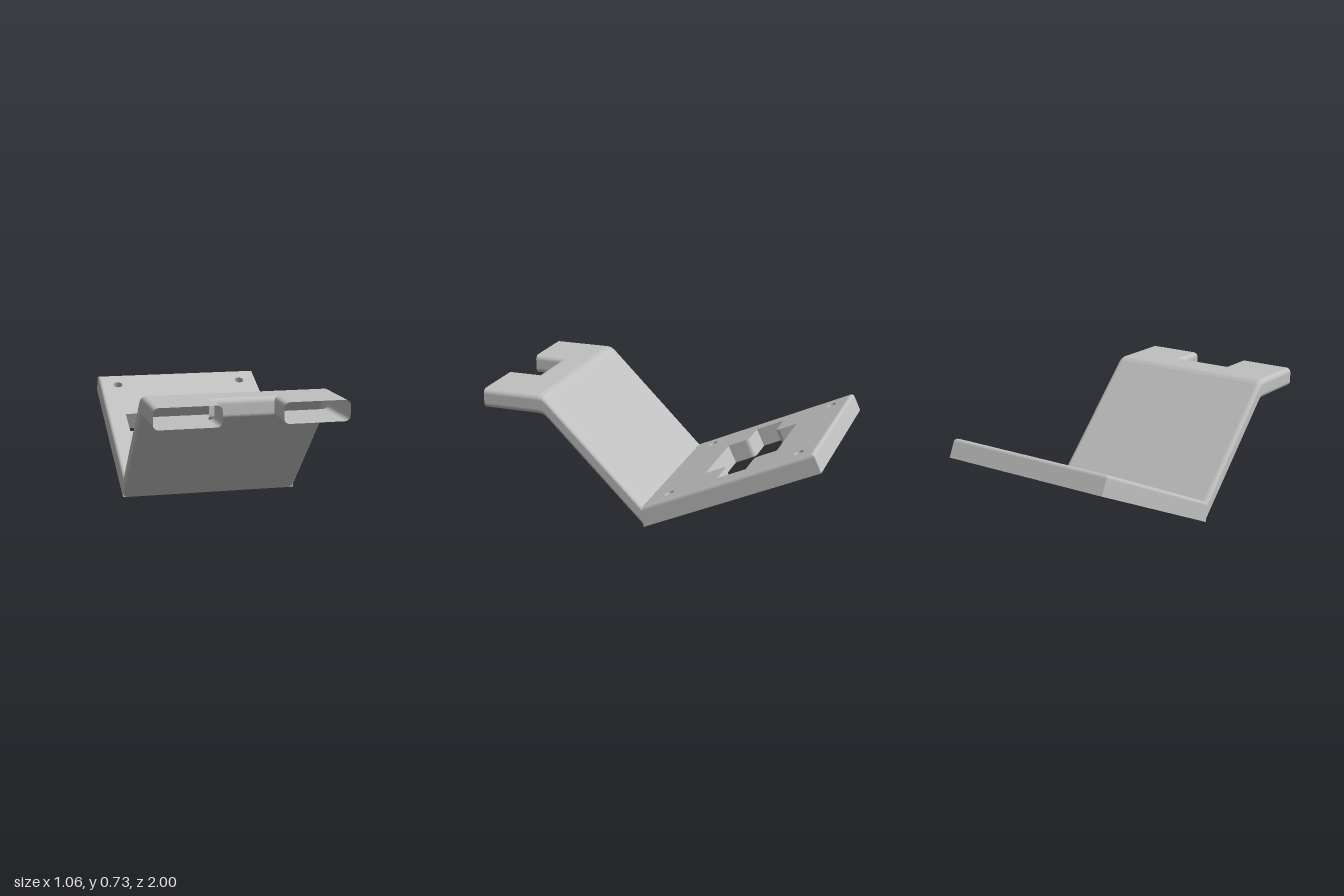
import * as THREE from 'three';

const W = 0.53;            // half width
const T = 0.115;           // material thickness
const NOTCH = 0.165;       // half width of the front notch
const R = 0.03;            // edge rounding of the riser and shelf
const ARC = 8;

// Faceted skin through rows of points
function loft(rows, closed) {
  const n = rows[0].length, index = [];
  for (let i = 0; i < rows.length - 1; i++) {
    for (let j = 0; j < (closed ? n : n - 1); j++) {
      const a = i * n + j, b = i * n + (j + 1) % n;
      index.push(a, b, a + n, b, b + n, a + n);
    }
  }
  const g = new THREE.BufferGeometry();
  g.setAttribute('position', new THREE.Float32BufferAttribute(rows.flat(2), 3));
  g.setIndex(index);
  const flat = g.toNonIndexed();
  flat.computeVertexNormals();
  return flat;
}

// Rounded rectangle from x0 to x1, standing between a bottom and a top point [z, y]
function ring(x0, x1, bottom, top) {
  const h = Math.hypot(top[0] - bottom[0], top[1] - bottom[1]);
  const corners = [[x0 + R, R], [x1 - R, R], [x1 - R, h - R], [x0 + R, h - R]];
  const pts = [];
  corners.forEach(([cx, cv], c) => {
    for (let k = 0; k <= ARC; k++) {
      const a = Math.PI * (1 + c / 2 + k / ARC / 2);
      const v = (cv + R * Math.sin(a)) / h;
      pts.push([
        cx + R * Math.cos(a),
        THREE.MathUtils.lerp(bottom[1], top[1], v),
        THREE.MathUtils.lerp(bottom[0], top[0], v),
      ]);
    }
  });
  return pts;
}

// Sloping plate with a cross-shaped opening and four screw holes
function plateGeometry() {
  const length = 1.123, mid = 0.587, f = 0.03, edge = 0.02, steps = 6;
  const shape = new THREE.Shape();
  shape.moveTo(-W, 0).lineTo(W, 0).lineTo(W, length).lineTo(-W, length).closePath();

  const cx = 0.23, ax = 0.412, cs = 0.232, as = 0.091;
  const cross = new THREE.Path();
  cross.moveTo(-cx, mid - cs);
  cross.lineTo(-cx, mid - as - f);
  cross.quadraticCurveTo(-cx, mid - as, -cx - f, mid - as);
  cross.lineTo(-ax, mid - as).lineTo(-ax, mid + as).lineTo(-cx - f, mid + as);
  cross.quadraticCurveTo(-cx, mid + as, -cx, mid + as + f);
  cross.lineTo(-cx, mid + cs).lineTo(cx, mid + cs).lineTo(cx, mid + as + f);
  cross.quadraticCurveTo(cx, mid + as, cx + f, mid + as);
  cross.lineTo(ax, mid + as).lineTo(ax, mid - as).lineTo(cx + f, mid - as);
  cross.quadraticCurveTo(cx, mid - as, cx, mid - as - f);
  cross.lineTo(cx, mid - cs).closePath();
  shape.holes.push(cross);

  for (const x of [-0.412, 0.412]) {
    for (const s of [0.179, 1.006]) {
      shape.holes.push(new THREE.Path().absarc(x, s, 0.029, 0, Math.PI * 2, true));
    }
  }

  const g = new THREE.ExtrudeGeometry(shape, { depth: T, steps, bevelEnabled: false, curveSegments: 8 });
  // Round the upper outer edges and mitre the end that meets the riser
  const p = g.attributes.position;
  for (let i = 0; i < p.count; i++) {
    let x = p.getX(i), s = p.getY(i);
    const k = Math.round(p.getZ(i) / T * steps);
    const a = Math.max(0, k - 1) / (steps - 1) * Math.PI / 2;
    const h = k === 0 ? 0 : T - edge + edge * Math.sin(a);
    const inset = edge * (1 - Math.cos(a));
    if (Math.abs(x) > W - 0.001) x -= Math.sign(x) * inset;
    if (s > length - 0.001) s -= inset;
    if (s < 0.001) s += 0.043 * h / T;
    p.setXYZ(i, x, s, h);
  }
  g.computeVertexNormals();
  return g;
}

export function createModel() {
  const model = new THREE.Group();
  model.name = 'bracket';
  const grey = new THREE.MeshStandardMaterial({ color: 0xc0c0c0, side: THREE.DoubleSide });
  grey.name = 'light grey';

  function add(name, geometry) {
    const mesh = new THREE.Mesh(geometry, grey);
    mesh.name = name;
    model.add(mesh);
    return mesh;
  }

  // Mounting plate, leaning back 25 degrees from level
  const plate = add('mountingPlate', plateGeometry());
  plate.rotation.x = -THREE.MathUtils.degToRad(65);
  plate.position.z = 0.0186;

  // Riser bending softly into the level shelf
  const yb = 0.61, yt = 0.725, start = 0.79, nose = 0.82;
  const stations = [
    [[0.0186, 0], [0.028, 0.123]],
    [[0.609, 0.59], [0.61, 0.705]],
    [[0.63, 0.605], [0.631, 0.72]],
    [[0.654, yb], [0.655, yt]],
    [[start, yb], [start, yt]],
  ];
  add('riserAndShelf', loft(stations.map(([b, t]) => ring(-W, W, b, t)), true));

  // Hollow prongs, open at the front
  for (const [name, x0, x1] of [['leftProng', NOTCH, W], ['rightProng', -W, -NOTCH]]) {
    add(name, loft([start, 1].map((z) => ring(x0, x1, [z, yb], [z, yt])), true));
  }

  // Rounded back wall of the notch
  const profile = [];
  for (const [cy, from] of [[yt - R, Math.PI / 2], [yb + R, 0]]) {
    for (let k = 0; k <= ARC; k++) {
      const a = from - k / ARC * Math.PI / 2;
      profile.push([cy + R * Math.sin(a), nose - R + R * Math.cos(a)]);
    }
  }
  const half = NOTCH + R;
  add('notchWall', loft([-half, half].map((x) => profile.map(([y, z]) => [x, y, z])), false));

  return model;
}
